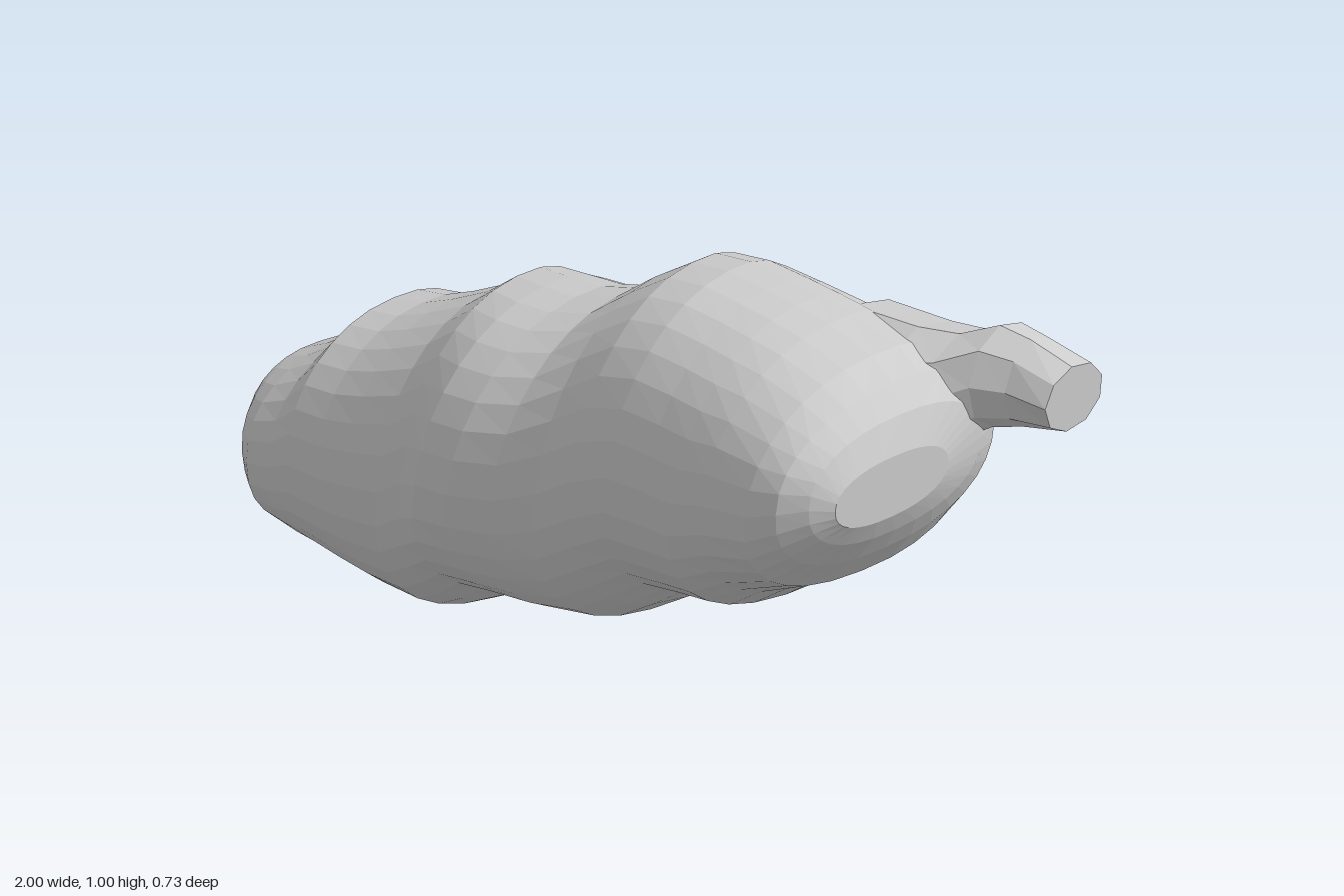
import * as THREE from 'three';

const material = new THREE.MeshStandardMaterial({ color: 0xcccccc, flatShading: true });

// Closed skin over cross-sections [x, yLow, yHigh, zBack, zFront], ordered by rising x
function loft(name, sections, sides, power, shear = 0) {
  const pos = [], index = [], n = sections.length;
  const soft = (v) => Math.sign(v) * Math.abs(v) ** (2 / power);
  for (const [x, y0, y1, z0, z1] of sections) {
    const fade = shear * Math.max(0, 1 - (x / 0.85) ** 4);
    for (let j = 0; j < sides; j++) {
      const a = (j / sides) * Math.PI * 2;
      const s = soft(Math.sin(a)), z = (z0 + z1) / 2 + ((z1 - z0) / 2) * soft(Math.cos(a));
      pos.push(x + fade * z * s, (y0 + y1) / 2 + ((y1 - y0) / 2) * s, z);
    }
  }
  for (let i = 0; i < n - 1; i++) {
    for (let j = 0; j < sides; j++) {
      const k = (j + 1) % sides, a = i * sides, b = a + sides;
      index.push(a + j, b + j, a + k, a + k, b + j, b + k);
    }
  }
  // end caps
  for (const [row, flip] of [[0, false], [n - 1, true]]) {
    const [x, y0, y1, z0, z1] = sections[row];
    const c = pos.length / 3, a = row * sides;
    pos.push(x, (y0 + y1) / 2, (z0 + z1) / 2);
    for (let j = 0; j < sides; j++) {
      const k = (j + 1) % sides;
      index.push(c, a + (flip ? k : j), a + (flip ? j : k));
    }
  }
  const g = new THREE.BufferGeometry();
  g.setAttribute('position', new THREE.Float32BufferAttribute(pos, 3));
  g.setIndex(index);
  g.computeVertexNormals();
  const mesh = new THREE.Mesh(g, material);
  mesh.name = name;
  return mesh;
}

export function createModel() {
  const group = new THREE.Group();
  group.name = 'twistedLoaf';

  // Slanting body with three swelling lobes
  const body = [
    [-0.9, 0.12, 0.41, -0.08, 0.18],
    [-0.88, 0.08, 0.44, -0.19, 0.23],
    [-0.84, 0.06, 0.46, -0.27, 0.27],
    [-0.78, 0.04, 0.49, -0.3, 0.3],
    [-0.7, 0.025, 0.54, -0.31, 0.3],
    [-0.63, 0.015, 0.62, -0.31, 0.3],
    [-0.53, 0.01, 0.64, -0.31, 0.3],
    [-0.43, 0.005, 0.68, -0.31, 0.3],
    [-0.31, 0.01, 0.735, -0.32, 0.3],
    [-0.2, 0.075, 0.81, -0.31, 0.32],
    [-0.1, 0.155, 0.825, -0.31, 0.36],
    [0, 0.18, 0.835, -0.31, 0.36],
    [0.1, 0.185, 0.86, -0.31, 0.33],
    [0.2, 0.2, 0.93, -0.31, 0.3],
    [0.3, 0.27, 0.99, -0.32, 0.3],
    [0.4, 0.35, 1.005, -0.31, 0.3],
    [0.5, 0.375, 1.0, -0.31, 0.3],
    [0.58, 0.395, 0.995, -0.31, 0.305],
    [0.66, 0.46, 0.985, -0.31, 0.305],
    [0.77, 0.525, 0.96, -0.31, 0.305],
    [0.83, 0.6, 0.93, -0.28, 0.29],
    [0.87, 0.66, 0.89, -0.2, 0.25],
    [0.895, 0.71, 0.83, -0.08, 0.21],
  ];
  group.add(loft('body', body, 32, 2.3, 0.2));

  // Blunt stubs drawn out from the back corner of each end
  group.add(loft('upperStub', [
    [0.6, 0.66, 0.97, -0.305, 0],
    [0.75, 0.71, 0.97, -0.305, -0.03],
    [0.82, 0.75, 0.97, -0.31, -0.08],
    [0.88, 0.79, 0.995, -0.32, -0.14],
    [0.93, 0.8, 0.975, -0.33, -0.18],
    [1, 0.805, 0.935, -0.37, -0.21],
  ], 9, 2));
  group.add(loft('lowerStub', [
    [-1, 0.04, 0.22, -0.325, -0.21],
    [-0.93, 0.01, 0.245, -0.325, -0.17],
    [-0.88, 0.015, 0.27, -0.32, -0.11],
    [-0.8, 0.03, 0.33, -0.31, -0.06],
    [-0.6, 0.05, 0.4, -0.305, 0],
  ], 9, 2));

  // Small peaks on the back
  for (const [x, y] of [[-0.3, 0.35], [0.26, 0.66]]) {
    const peak = new THREE.Mesh(new THREE.ConeGeometry(0.08, 0.1, 6), material);
    peak.name = 'backPeak';
    peak.rotation.x = -Math.PI / 2;
    peak.position.set(x, y, -0.317);
    group.add(peak);
  }
  return group;
}
